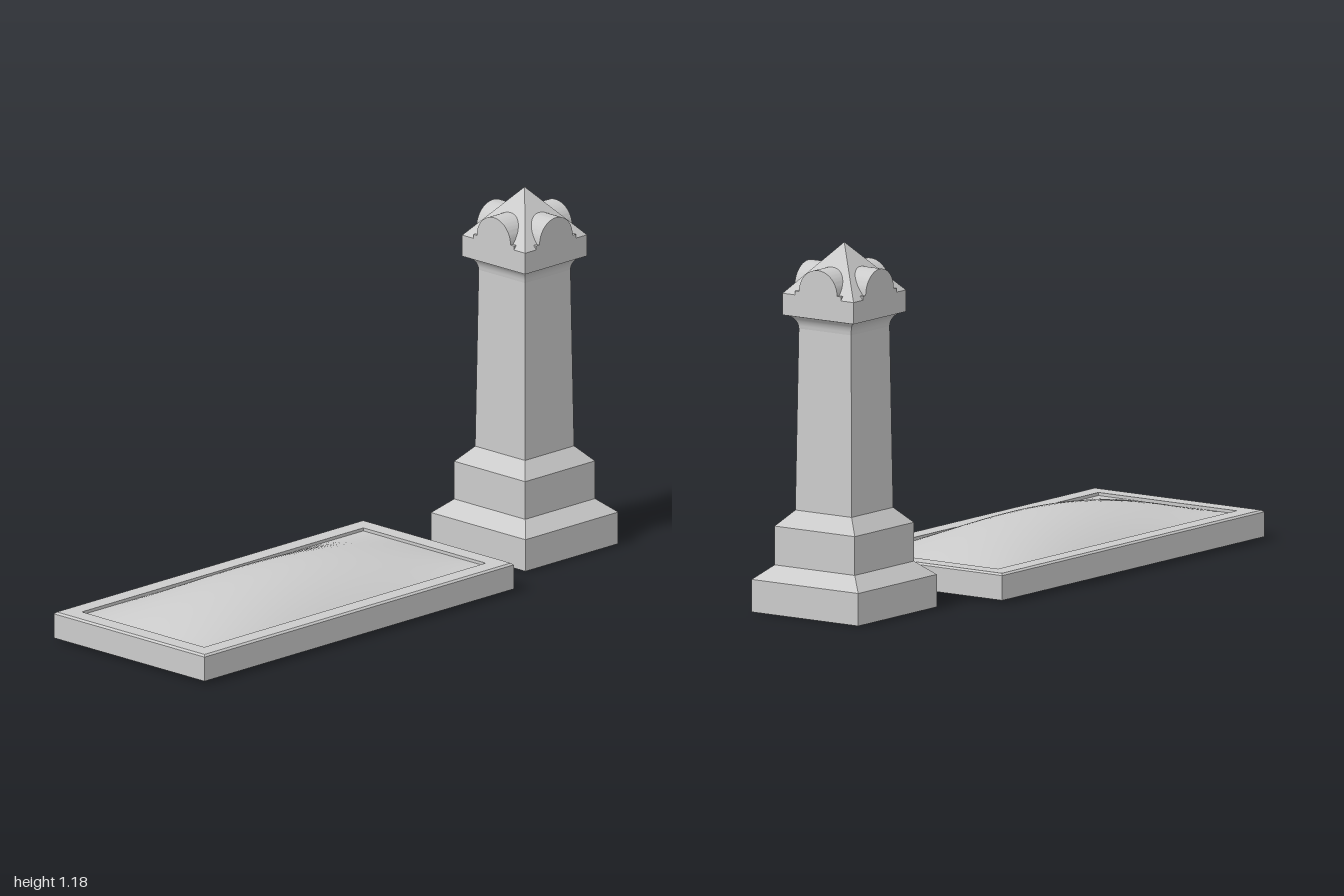
import * as THREE from 'three';
import { toCreasedNormals } from 'three/addons/utils/BufferGeometryUtils.js';

const material = new THREE.MeshStandardMaterial({ color: 0xcccccc, side: THREE.DoubleSide });

function part(name, geometry, crease = 0.5) {
  const mesh = new THREE.Mesh(toCreasedNormals(geometry, crease), material);
  mesh.name = name;
  return mesh;
}

// Skin through rectangular rings, each [halfX, halfZ, y], listed along the surface
function rectLoft(rings) {
  const corners = ([x, z, y]) => [[x, y, z], [x, y, -z], [-x, y, -z], [-x, y, z]];
  const pos = [];
  for (let i = 0; i < rings.length - 1; i++) {
    const a = corners(rings[i]), b = corners(rings[i + 1]);
    for (let s = 0; s < 4; s++) {
      const t = (s + 1) % 4;
      pos.push(...a[s], ...a[t], ...b[t]);
      if (rings[i + 1][0] > 0) pos.push(...a[s], ...b[t], ...b[s]);
    }
  }
  const geo = new THREE.BufferGeometry();
  geo.setAttribute('position', new THREE.Float32BufferAttribute(pos, 3));
  return geo;
}
const squareLoft = (profile) => rectLoft(profile.map(([r, y]) => [r, r, y]));

function createPillar() {
  const pillar = new THREE.Group();
  pillar.name = 'pillar';

  // Two-step plinth with sloped tops
  pillar.add(part('plinth', squareLoft([
    [0.21, 0], [0.21, 0.105], [0.158, 0.15], [0.158, 0.275], [0.111, 0.325],
  ])));
  pillar.add(part('shaft', squareLoft([[0.111, 0.325], [0.103, 0.91]])));

  // Hollow curved moulding below the cap
  const cove = [];
  for (let i = 0; i <= 8; i++) {
    const t = (i / 8) * Math.PI / 2;
    cove.push([0.14 - 0.037 * Math.cos(t), 0.91 + 0.045 * Math.sin(t)]);
  }
  pillar.add(part('cove', squareLoft(cove)));
  pillar.add(part('capBlock', squareLoft([[0.14, 0.955], [0.14, 1.025]])));
  pillar.add(part('capPyramid', squareLoft([[0.14, 1.025], [0, 1.185]])));

  // Two crossing round-topped gables
  const arch = new THREE.Shape();
  arch.moveTo(-0.09, 1.025);
  arch.lineTo(0.09, 1.025);
  arch.lineTo(0.09, 1.038);
  arch.lineTo(0.075, 1.038);
  arch.absarc(0, 1.038, 0.075, 0, Math.PI, false);
  arch.lineTo(-0.09, 1.038);
  for (const turn of [0, Math.PI / 2]) {
    const geo = new THREE.ExtrudeGeometry(arch, { depth: 0.28, bevelEnabled: false, curveSegments: 24 });
    geo.translate(0, 0, -0.14);
    geo.rotateY(turn);
    pillar.add(part('archedGable', geo));
  }
  pillar.position.z = -0.79;
  return pillar;
}

function createGraveBed() {
  const bed = new THREE.Group();
  bed.name = 'graveBed';

  // Kerb, open below
  bed.add(part('kerb', rectLoft([
    [0.335, 0.7, 0.008], [0.335, 0.7, 0.088], [0.328, 0.693, 0.094],
    [0.272, 0.637, 0.094], [0.272, 0.637, 0.084],
  ]), 0.3));

  // Shallow mound, curved both ways
  const mound = new THREE.PlaneGeometry(0.544, 1.274, 20, 32);
  mound.rotateX(-Math.PI / 2);
  const p = mound.attributes.position;
  for (let i = 0; i < p.count; i++) {
    const u = p.getX(i) / 0.272, v = p.getZ(i) / 0.637;
    p.setY(i, 0.084 + 0.079 * (1 - u * u) * (1 - v * v));
  }
  bed.add(part('mound', mound, 1));
  bed.position.z = 0.3;
  return bed;
}

export function createModel() {
  const model = new THREE.Group();
  model.name = 'graveMonument';
  model.add(createPillar(), createGraveBed());
  return model;
}
